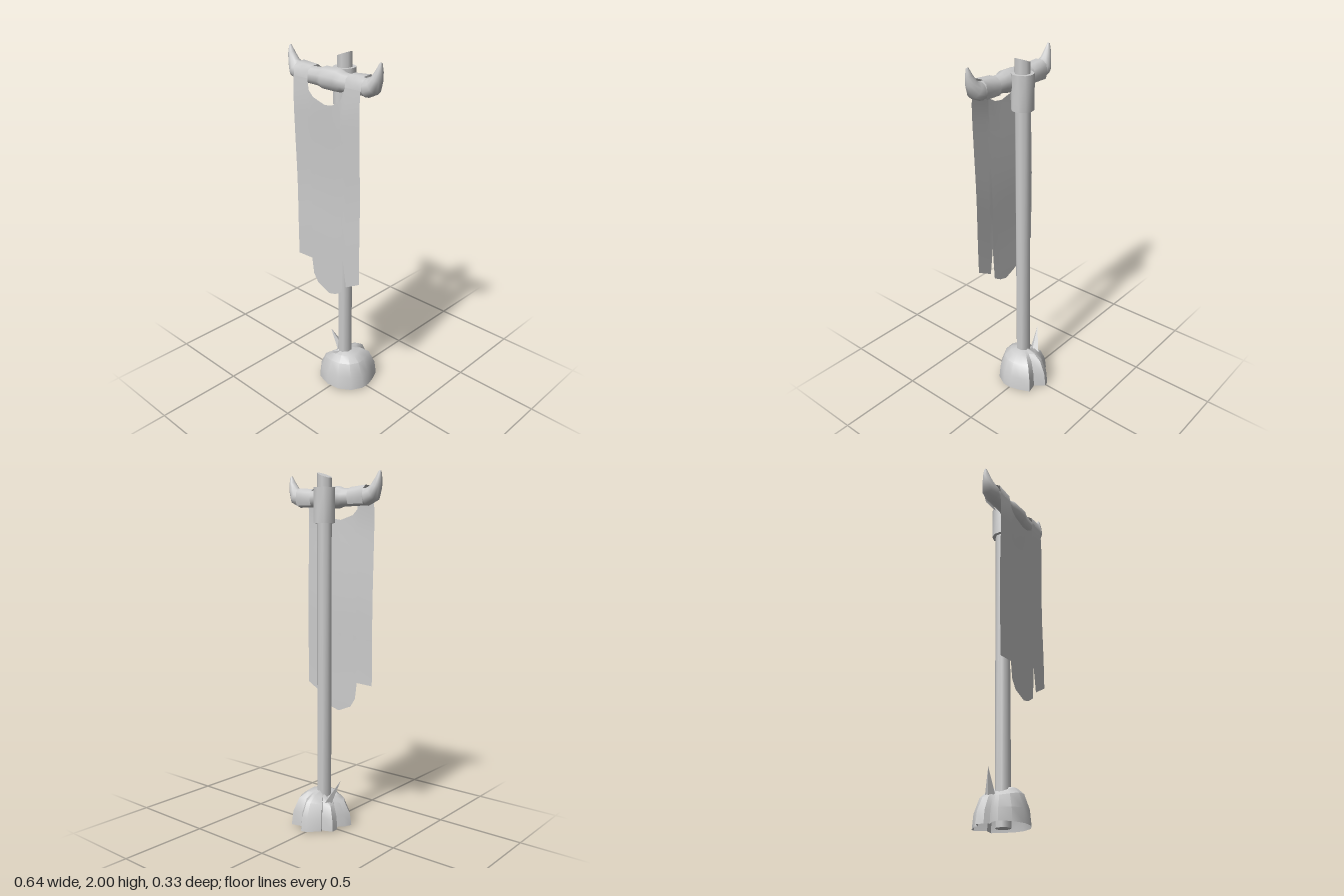
import * as THREE from 'three';
import { toCreasedNormals } from 'three/addons/utils/BufferGeometryUtils.js';

const solid = new THREE.MeshStandardMaterial({ color: 0xcccccc });
const sheet = new THREE.MeshStandardMaterial({ color: 0xcccccc, side: THREE.DoubleSide });

// Surface through rows of [x, y, z] points; closed joins each row into a ring
function skin(rows, closed = false) {
  const n = rows[0].length, index = [];
  for (let i = 0; i < rows.length - 1; i++) {
    for (let j = 0; j < (closed ? n : n - 1); j++) {
      const k = (j + 1) % n;
      const a = i * n + j, b = i * n + k, c = a + n, d = b + n;
      index.push(a, b, c, b, d, c);
    }
  }
  const g = new THREE.BufferGeometry();
  g.setAttribute('position', new THREE.Float32BufferAttribute(rows.flat(2), 3));
  g.setIndex(index);
  g.computeVertexNormals();
  return g;
}

export function createModel() {
  const model = new THREE.Group();
  const add = (name, geometry, material = solid) => {
    const mesh = new THREE.Mesh(geometry, material);
    mesh.name = name;
    model.add(mesh);
    return mesh;
  };

  // Pole with a slanted cut at the top
  const poleGeo = new THREE.CylinderGeometry(0.042, 0.042, 1.985, 8, 1, false, Math.PI / 8);
  poleGeo.translate(0, 0.9925, 0);
  const p = poleGeo.attributes.position;
  for (let i = 0; i < p.count; i++) {
    if (p.getY(i) > 1) p.setY(i, 1.985 + p.getX(i) * 0.386);
  }
  add('pole', toCreasedNormals(poleGeo, 0.9)).position.z = 0.02;

  // Collar that carries the crossbar
  const collarGeo = new THREE.CylinderGeometry(0.061, 0.061, 0.19, 10);
  add('collar', toCreasedNormals(collarGeo, 0.9)).position.set(0, 1.825, 0.02);

  // Crossbar with upturned horn ends: x, y, radius, tilt of the section
  const half = [
    [0.045, 1.87, 0.06, 0], [0.08, 1.868, 0.049, 0], [0.16, 1.866, 0.046, 0],
    [0.225, 1.867, 0.045, 0], [0.232, 1.867, 0.049, 0.1], [0.268, 1.882, 0.046, 0.6],
    [0.288, 1.92, 0.031, 1.25], [0.303, 1.96, 0.019, 1.3], [0.311, 1.996, 0.007, 1.3], [0.311, 1.999, 0, 1.3],
  ];
  const stations = [...half.map(([x, y, r, t]) => [-x, y, r, -t]).reverse(), ...half];
  const bar = stations.map(([x, y, r, t]) =>
    Array.from({ length: 10 }, (_, j) => {
      const a = (j / 10) * Math.PI * 2, u = r * Math.cos(a);
      return [x - u * Math.sin(t), y + u * Math.cos(t), 0.1 + r * Math.sin(a)];
    }));
  add('hornedCrossbar', skin(bar, true));

  // Hanging cloth: x, top and bottom of each column, with a scooped neck and torn hem
  const columns = [
    [-0.235, 1.86, 0.83], [-0.13, 1.86, 0.835], [-0.118, 1.805, 0.74], [-0.085, 1.775, 0.69],
    [0, 1.75, 0.655], [0.05, 1.757, 0.668], [0.1, 1.785, 0.7], [0.11, 1.8, 0.9],
    [0.132, 1.86, 0.745], [0.23, 1.86, 0.8],
  ];
  const clothZ = (x, y) =>
    0.152 + 0.013 * Math.exp(-(((y - 1.78) / 0.14) ** 2)) * Math.cos(x * 4) +
    0.004 * Math.sin(y * 9) * (y - 0.7);
  const cloth = columns.map(([x, top, bottom]) =>
    Array.from({ length: 13 }, (_, i) => {
      const y = top + (bottom - top) * (i / 12);
      return [x, y, clothZ(x, y)];
    }));
  add('bannerCloth', skin(cloth), sheet);

  // Cloth loops folded over the bar: z, y from front to back
  const fold = [[0.157, 1.86], [0.15, 1.9], [0.125, 1.918], [0.08, 1.92], [0.052, 1.9], [0.045, 1.865], [0.055, 1.83]];
  for (const side of [-1, 1]) {
    const loop = [0.13, 0.18, 0.233].map((x, i) =>
      fold.map(([z, y], k) => [side * x, y + (k > 0 && k < 5 ? i * 0.004 : 0), k ? z : clothZ(x, y)]));
    add(side > 0 ? 'leftClothLoop' : 'rightClothLoop', skin(loop), sheet);
  }

  // Craggy mound at the foot, open underneath: outline as x, z
  const outline = [
    [0.165, 0.04], [0.165, -0.015], [0.148, -0.07], [0.12, -0.13], [0.06, -0.115], [0.015, -0.168],
    [-0.015, -0.16], [-0.077, -0.1], [-0.07, -0.085], [-0.128, -0.06], [-0.125, -0.015],
    [-0.1, 0.005], [-0.135, 0.045], [-0.15, 0.085], [-0.1, 0.135], [-0.02, 0.158],
    [0.06, 0.15], [0.13, 0.105],
  ];
  const levels = [[0.01, 1], [0.09, 0.95], [0.17, 0.76], [0.202, 0.5], [0.211, 0.2]];
  const mound = levels.map(([y, s]) =>
    outline.map(([x, z]) => [x * s, y * (1 + Math.min(x, 0) * 1.1), 0.02 + (z - 0.02) * s]));
  add('moundBase', toCreasedNormals(skin(mound, true), 0.6), sheet);

  // Sharp shard leaning out of the mound
  const foot = new THREE.Vector3(-0.055, 0.14, -0.02), tip = new THREE.Vector3(-0.127, 0.29, 0.012);
  const axis = tip.clone().sub(foot);
  const shardGeo = new THREE.ConeGeometry(0.024, axis.length(), 4);
  shardGeo.scale(1, 1, 1.5);
  const shard = add('shard', toCreasedNormals(shardGeo, 0.5));
  shard.position.copy(foot).addScaledVector(axis, 0.5);
  shard.quaternion.setFromUnitVectors(new THREE.Vector3(0, 1, 0), axis.clone().normalize());

  return model;
}
